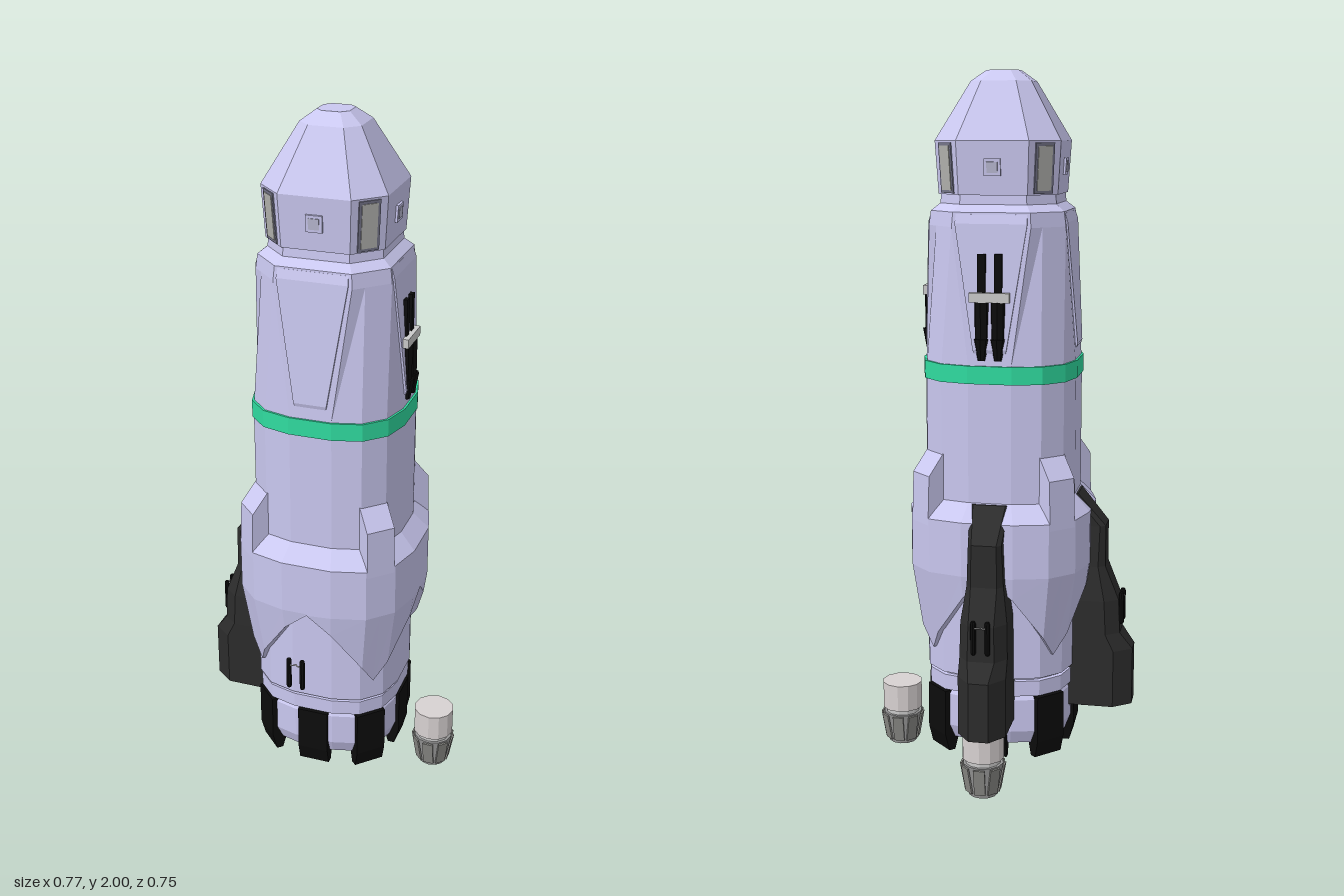
import * as THREE from 'three';

const mat = (color) => new THREE.MeshStandardMaterial({ color, flatShading: true });
const HULL = mat(0xcac8f0), GREEN = mat(0x30dca0), DARK = mat(0x2c2c2c), BLACK = mat(0x0c0c0c);
const GREY = mat(0xcccccc), GLASS = mat(0xb4b4b0);

// Cross-section corner points as fractions of the half width: rounded square or chamfered octagon
const ROUND = [[0.28, 1], [0.65, 0.9], [0.9, 0.65], [1, 0.28]];
const OCT = [[0.57, 1], [0.71, 0.86], [0.86, 0.71], [1, 0.57]];

// Skin closed rings of [x, y, z] points, counter-clockwise from above, bottom to top
function loft(rings, caps = true) {
  const pos = [];
  const tri = (a, b, c) => pos.push(...a, ...b, ...c);
  const n = rings[0].length;
  for (let r = 0; r < rings.length - 1; r++) {
    const a = rings[r], b = rings[r + 1];
    for (let i = 0; i < n; i++) {
      const j = (i + 1) % n;
      tri(a[i], a[j], b[j]);
      tri(a[i], b[j], b[i]);
    }
  }
  if (caps) {
    const lo = rings[0], hi = rings[rings.length - 1];
    for (let i = 1; i < n - 1; i++) {
      tri(lo[0], lo[i + 1], lo[i]);
      tri(hi[0], hi[i], hi[i + 1]);
    }
  }
  const g = new THREE.BufferGeometry();
  g.setAttribute('position', new THREE.Float32BufferAttribute(pos, 3));
  g.computeVertexNormals();
  return g;
}

// Repeat one corner of a section around four sides
function section(y, half, corner = ROUND) {
  const ring = [];
  for (let q = 0; q < 4; q++) {
    const s = Math.round(Math.sin(q * Math.PI / 2)), c = Math.round(Math.cos(q * Math.PI / 2));
    for (const [u, v] of corner) ring.push([(u * c + v * s) * half, y, (v * c - u * s) * half]);
  }
  return ring;
}

function add(parent, name, geo, material, x = 0, y = 0, z = 0) {
  const m = new THREE.Mesh(geo, material);
  m.name = name;
  m.position.set(x, y, z);
  parent.add(m);
  return m;
}
const box = (w, h, d) => new THREE.BoxGeometry(w, h, d);

// Group whose +z points outward at the given angle (0 front, 90 left side)
function facing(parent, name, deg) {
  const g = new THREE.Group();
  g.name = name;
  g.rotation.y = THREE.MathUtils.degToRad(deg);
  parent.add(g);
  return g;
}

// Extrude a [radius, height] profile to a centred width
function slab(profile, width) {
  const shape = new THREE.Shape(profile.map(([r, y]) => new THREE.Vector2(r, y)));
  const g = new THREE.ExtrudeGeometry(shape, { depth: width, bevelEnabled: false });
  return g.translate(0, 0, -width / 2).rotateY(-Math.PI / 2);
}

// Flared collar with pointed skirt tips on the diagonals
function collarGeometry() {
  const corner = [[0, 1], ...ROUND.slice(0, 2), [0.775, 0.775], ...ROUND.slice(2)];
  const drop = [0.61, 0.55, 0.43, 0.37, 0.43, 0.55];
  const hem = (inner) => section(0, 1, corner).map(([x, , z], i) => {
    const y = drop[i % 6];
    const h = inner ? 0.214 : 0.226 + 0.036 * (y - 0.37) / 0.24;
    return [x * h, y, z * h];
  });
  return loft([hem(true), hem(false), section(0.615, 0.262, corner), section(0.77, 0.262, corner),
    section(0.82, 0.215, corner)], false);
}

// Fin: chamfered outer edge, listed as height, reach, half width, chamfer
function finGeometry() {
  const rows = [[0.18, 0.387, 0.068, 0.04], [0.35, 0.387, 0.068, 0.04], [0.4, 0.35, 0.068, 0.03],
    [0.5, 0.345, 0.066, 0.03], [0.6, 0.305, 0.052, 0.015], [0.72, 0.305, 0.047, 0.012], [0.815, 0.225, 0.056, 0.01]];
  return loft(rows.map(([y, r, w, c]) => [[-w, y, r - c * 1.3], [-w + c, y, r], [w - c, y, r],
    [w, y, r - c * 1.3], [w, y, 0.19], [-w, y, 0.19]]));
}

// Pair of small grab bars with curled links
function grabBars(parent) {
  for (const s of [-1, 1]) {
    add(parent, 'grabBar', new THREE.CapsuleGeometry(0.008, 0.084, 2, 8), BLACK, s * 0.02, 0.47, 0.352);
    const link = add(parent, 'grabBarLink', new THREE.TorusGeometry(0.008, 0.002, 5, 8, Math.PI), GREY, s * 0.01, 0.5, 0.35);
    link.rotation.x = Math.PI / 2;
  }
}

// Small thruster with a slatted nozzle
function thruster(parent) {
  const g = new THREE.Group();
  g.name = 'thruster';
  g.position.z = 0.317;
  parent.add(g);
  add(g, 'thrusterBody', new THREE.CylinderGeometry(0.06, 0.06, 0.08, 12), mat(0xd8d2d2), 0, 0.15, 0);
  add(g, 'thrusterNeck', new THREE.CylinderGeometry(0.05, 0.05, 0.02, 12), GREY, 0, 0.1, 0);
  add(g, 'thrusterNozzle', new THREE.CylinderGeometry(0.058, 0.042, 0.095, 12), mat(0x999999), 0, 0.0475, 0);
  for (let i = 0; i < 8; i++) {
    const slat = add(facing(g, 'nozzleSlatMount', i * 45), 'nozzleSlat', box(0.032, 0.08, 0.005), mat(0x8c8c88), 0, 0.052, 0.054);
    slat.rotation.x = 0.18;
  }
}

// Twin barrels held by a bracket
function twinGun(parent) {
  add(parent, 'gunBracket', box(0.112, 0.026, 0.04), GREY, 0, 1.393, 0.205);
  for (const s of [-1, 1]) {
    const x = s * 0.023;
    add(parent, 'gunBarrel', box(0.022, 0.13, 0.018), BLACK, x, 1.445, 0.204);
    add(parent, 'gunPod', new THREE.CylinderGeometry(0.022, 0.022, 0.1, 8), BLACK, x, 1.33, 0.205);
    add(parent, 'gunPodTip', new THREE.CylinderGeometry(0.022, 0.011, 0.06, 8), BLACK, x, 1.25, 0.212);
  }
}

export function createModel() {
  const model = new THREE.Group();
  model.name = 'rocket';
  const ship = new THREE.Group();
  ship.name = 'ship';
  ship.position.set(0.003, 0, 0.014);
  model.add(ship);

  // Hull stack, with a hollow base
  add(ship, 'engineBase', loft([section(0.2, 0.175), section(0.1, 0.175), section(0.1, 0.193),
    section(0.14, 0.208), section(0.235, 0.208), section(0.25, 0.2), section(0.305, 0.2)]), HULL);
  add(ship, 'baseRing', loft([section(0.25, 0.213), section(0.295, 0.213)]), HULL);
  add(ship, 'lowerHull', loft([section(0.305, 0.217), section(1.155, 0.217)]), HULL);
  add(ship, 'greenBand', loft([section(1.155, 0.221), section(1.205, 0.221)]), GREEN);
  add(ship, 'upperHull', loft([section(1.205, 0.215), section(1.58, 0.192, OCT), section(1.62, 0.187, OCT),
    section(1.64, 0.163, OCT), section(1.67, 0.16, OCT)]), HULL);
  add(ship, 'noseCone', loft([section(1.665, 0.167, OCT), section(1.81, 0.176, OCT),
    section(1.97, 0.085, OCT), section(2, 0.045, OCT)]), HULL);
  add(ship, 'collar', collarGeometry(), HULL);

  // Details on the four faces
  const panel = loft([[1.24, 0.045, 0.216], [1.25, 0.047, 0.219], [1.59, 0.1, 0.196], [1.615, 0.098, 0.188]]
    .map(([y, w, r]) => [[-w, y, r], [w, y, r], [w, y, 0.17], [-w, y, 0.17]]));
  for (let i = 0; i < 4; i++) {
    const face = facing(ship, 'hullFace', i * 90);
    add(face, 'taperedPanel', panel, HULL);
    const port = facing(face, 'porthole', 0);
    port.position.set(0, 1.74, 0.172);
    port.rotation.x = 0.06;
    add(port, 'portholeFrame', box(0.046, 0.046, 0.012), HULL);
    add(port, 'portholeGlass', box(0.03, 0.03, 0.016), mat(0xb8b8d0));

    // Details on the diagonals
    const corner = facing(ship, 'hullCorner', i * 90 + 45);
    add(corner, 'collarRib', slab([[0.21, 0.75], [0.288, 0.75], [0.283, 0.89], [0.236, 0.95], [0.21, 0.95]], 0.085), HULL);
    const win = facing(corner, 'cornerWindow', 0);
    win.position.set(0, 1.737, 0.19);
    win.rotation.x = 0.07;
    add(win, 'windowFrame', box(0.062, 0.136, 0.008), mat(0x77778c));
    add(win, 'windowGlass', box(0.046, 0.12, 0.012), GLASS);
  }

  // Ring of black clamps around the base
  for (let i = 0; i < 8; i++) {
    const d = i % 2 ? 0.02 : 0;
    const profile = [[0.17, 0.245], [0.218, 0.245], [0.218, 0.11], [0.205, 0.06], [0.185, 0.06], [0.17, 0.11]];
    add(facing(ship, 'clampMount', i * 45), 'baseClamp', slab(profile.map(([r, y]) => [r + d, y]), 0.092), BLACK);
  }

  // Fins, grab bars, thrusters and guns
  for (const deg of [180, 270]) add(facing(ship, 'finMount', deg), 'fin', finGeometry(), DARK);
  for (const deg of [0, 180, 270]) grabBars(facing(ship, 'grabBars', deg));
  for (const deg of [90, 180]) {
    thruster(facing(ship, 'thrusterMount', deg));
    twinGun(facing(ship, 'twinGun', deg));
  }
  return model;
}
